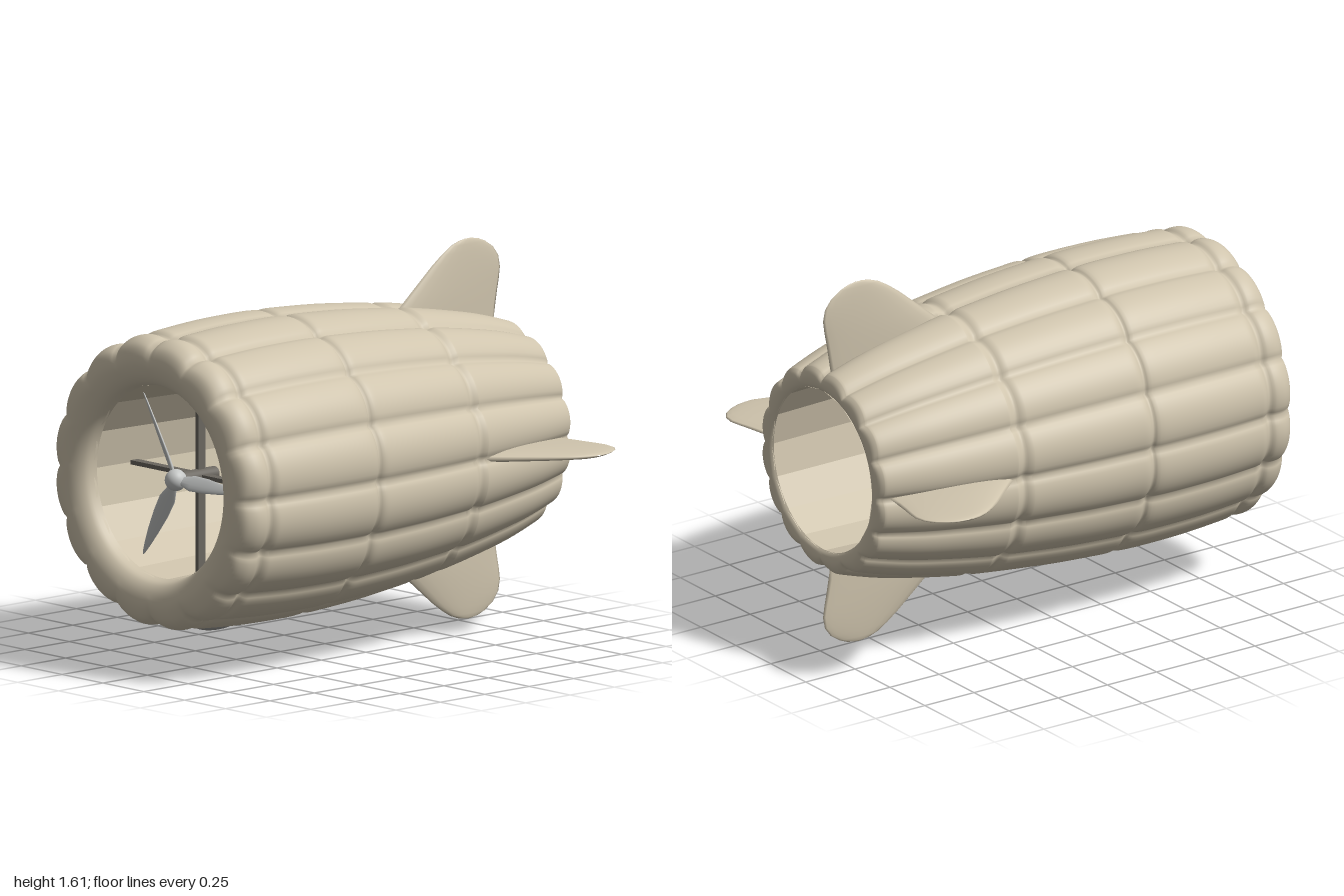
import * as THREE from 'three';
import { mergeVertices } from 'three/addons/utils/BufferGeometryUtils.js';

const AXIS_Y = 0.806;

function material(name, color, side = THREE.FrontSide) {
  const m = new THREE.MeshStandardMaterial({ color, side });
  m.name = name;
  return m;
}

function mesh(name, geometry, mat, parent) {
  const m = new THREE.Mesh(geometry, mat);
  m.name = name;
  parent.add(m);
  return m;
}

const clamp01 = (v) => Math.min(1, Math.max(0, v));

// Quilted hull: a lathed barrel whose radius is pinched at 16 lengthwise seams
function hullGeometry() {
  const profile = [
    [0.352, -0.985], [0.37, -0.997], [0.405, -1.0], [0.437, -0.985], [0.455, -0.95],
    [0.505, -0.78], [0.548, -0.58], [0.577, -0.42], [0.579, -0.39], [0.57, -0.36],
    [0.587, -0.33], [0.595, -0.28], [0.62, -0.05], [0.634, 0.16], [0.636, 0.23],
    [0.622, 0.26], [0.638, 0.29], [0.642, 0.4], [0.639, 0.6], [0.628, 0.78],
    [0.622, 0.83], [0.604, 0.86], [0.618, 0.89], [0.615, 0.935], [0.59, 0.975],
    [0.55, 0.995], [0.505, 1.0], [0.455, 0.985], [0.42, 0.955], [0.406, 0.91],
  ].map(([r, z]) => new THREE.Vector2(r, z));
  const points = new THREE.SplineCurve(profile).getPoints(116);
  let g = new THREE.LatheGeometry(points, 192);
  g.deleteAttribute('uv');
  g.deleteAttribute('normal');
  const p = g.attributes.position;
  for (let i = 0; i < p.count; i++) {
    const x = p.getX(i), z = p.getZ(i), along = p.getY(i);
    const r = Math.hypot(x, z);
    const fade = along > 0.9 ? clamp01((r - 0.47) / 0.13) : clamp01((r - 0.37) / 0.07);
    const seam = 1 - Math.pow(Math.abs(Math.sin(8 * Math.atan2(x, z))), 0.6);
    const k = 1 - (0.032 * fade * seam) / r;
    p.setX(i, x * k);
    p.setZ(i, z * k);
  }
  g = mergeVertices(g, 1e-5);
  g.rotateX(Math.PI / 2);
  g.computeVertexNormals();
  return g;
}

// Foil lofted up y from sections [span, leading z, trailing z, thickness]
function foilGeometry(sections, sides = 20) {
  const pos = [], index = [];
  sections.forEach(([y, lead, trail, thick], j) => {
    for (let i = 0; i < sides; i++) {
      const a = (i / sides) * Math.PI * 2, u = Math.cos(a);
      pos.push((thick / 2) * Math.sin(a) * (1 + 0.3 * u), y, (lead + trail) / 2 + ((lead - trail) / 2) * u);
      if (j === 0) continue;
      const d = j * sides + i, c = j * sides + ((i + 1) % sides);
      index.push(d - sides, c - sides, d, c - sides, c, d);
    }
  });
  const g = new THREE.BufferGeometry();
  g.setAttribute('position', new THREE.Float32BufferAttribute(pos, 3));
  g.setIndex(index);
  g.computeVertexNormals();
  return g;
}

export function createModel() {
  const fabric = material('beige shell', 0xcfc4ad);
  const lining = material('beige lining', 0xcfc4ad, THREE.DoubleSide);
  lining.flatShading = true;
  const steel = material('light grey metal', 0xc4c6c5);
  const dark = material('dark grey struts', 0x6b6760);
  const lensGrey = material('mid grey pod', 0x9c9b98);

  const model = new THREE.Group();
  model.name = 'ductedCraft';
  const body = new THREE.Group();
  body.name = 'body';
  body.position.y = AXIS_Y;
  model.add(body);

  mesh('hull', hullGeometry(), fabric, body);

  // Faceted inner duct, open at both ends
  const duct = new THREE.CylinderGeometry(0.415, 0.36, 1.915, 16, 1, true);
  duct.rotateX(Math.PI / 2);
  mesh('duct', duct, lining, body).position.z = -0.0325;

  // Four tail fins
  const fin = foilGeometry([
    [0.42, -0.3, -0.945, 0.05], [0.5, -0.36, -0.958, 0.05], [0.56, -0.42, -0.968, 0.048],
    [0.61, -0.48, -0.978, 0.044], [0.66, -0.54, -0.985, 0.039], [0.71, -0.6, -0.975, 0.033],
    [0.75, -0.655, -0.945, 0.027], [0.78, -0.705, -0.9, 0.021], [0.796, -0.75, -0.86, 0.014],
    [0.803, -0.795, -0.815, 0.004],
  ]);
  ['top', 'left', 'bottom', 'right'].forEach((side, i) => {
    mesh(side + 'Fin', fin, fabric, body).rotation.z = (-i * Math.PI) / 2;
  });

  // Cross struts and motor
  mesh('verticalStrut', new THREE.BoxGeometry(0.018, 0.815, 0.04), dark, body).position.z = 0.7;
  mesh('horizontalStrut', new THREE.BoxGeometry(0.815, 0.018, 0.04), dark, body).position.z = 0.7;
  const motor = new THREE.CylinderGeometry(0.03, 0.03, 0.2, 24);
  motor.rotateX(Math.PI / 2);
  mesh('motor', motor, dark, body).position.z = 0.72;

  // Three-bladed propeller
  const propeller = new THREE.Group();
  propeller.name = 'propeller';
  propeller.position.z = 0.84;
  body.add(propeller);
  mesh('hub', new THREE.SphereGeometry(0.046, 28, 20), steel, propeller);
  const blade = foilGeometry([
    [0.02, 0.012, -0.012, 0.016], [0.05, 0.022, -0.022, 0.016], [0.1, 0.036, -0.034, 0.014],
    [0.18, 0.034, -0.032, 0.012], [0.27, 0.026, -0.022, 0.01], [0.34, 0.016, -0.012, 0.008],
    [0.385, 0.007, -0.004, 0.005], [0.395, 0.002, 0, 0.002],
  ], 14);
  blade.rotateY(THREE.MathUtils.degToRad(58));
  for (let i = 0; i < 3; i++) {
    mesh('blade' + (i + 1), blade, steel, propeller).rotation.z = -Math.PI / 2 + (i * 2 * Math.PI) / 3;
  }

  // Belly sensor pod
  const pod = mesh('bellyPod', new THREE.SphereGeometry(1, 32, 20), lensGrey, body);
  pod.scale.set(0.05, 0.038, 0.125);
  pod.position.set(0, 0.183 - AXIS_Y, 0.615);

  return model;
}
